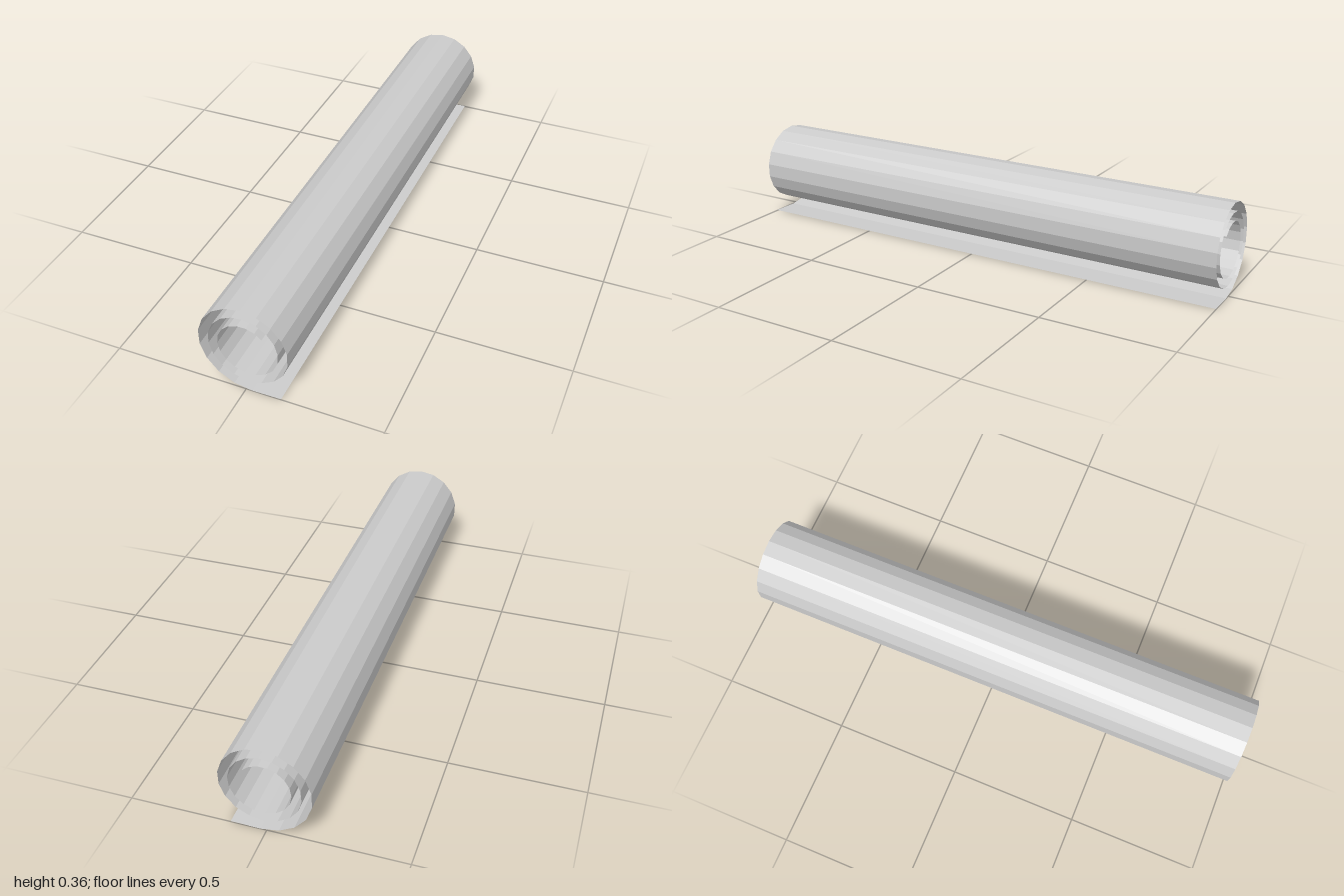
import * as THREE from 'three';

// Cross-section of the rolled sheet: a loose outer flap, then a spiral winding inwards
function rollProfile() {
  const steps = 47, start = 274, sweep = 950;
  const points = [new THREE.Vector2(0.13, 0.003)]; // free outer edge
  for (let i = 0; i <= steps; i++) {
    const degrees = (sweep * i) / steps;
    const turns = degrees / 360;
    const angle = THREE.MathUtils.degToRad(start - degrees);
    // the outer wrap sags slightly where it leaves the roll
    const radius = 0.182 - 0.035 * turns + 0.009 * Math.exp(-6 * turns);
    points.push(new THREE.Vector2(0.008 + radius * Math.cos(angle), 0.191 + radius * Math.sin(angle)));
  }
  return points;
}

// Sweeps an open profile straight along z as a thin sheet
function sheetGeometry(profile, length) {
  const geometry = new THREE.PlaneGeometry(1, 1, profile.length - 1, 1);
  const position = geometry.attributes.position;
  for (let i = 0; i < position.count; i++) {
    const p = profile[i % profile.length];
    const z = i < profile.length ? -length / 2 : length / 2;
    position.setXYZ(i, p.x, p.y, z);
  }
  geometry.computeVertexNormals();
  return geometry;
}

export function createModel() {
  const group = new THREE.Group();
  group.name = 'rolledSheet';

  // Single thin sheet, faceted, open at both ends
  const material = new THREE.MeshStandardMaterial({
    color: 0xcccccc,
    flatShading: true,
    side: THREE.DoubleSide,
  });
  const sheet = new THREE.Mesh(sheetGeometry(rollProfile(), 2), material);
  sheet.name = 'sheet';
  group.add(sheet);

  return group;
}
